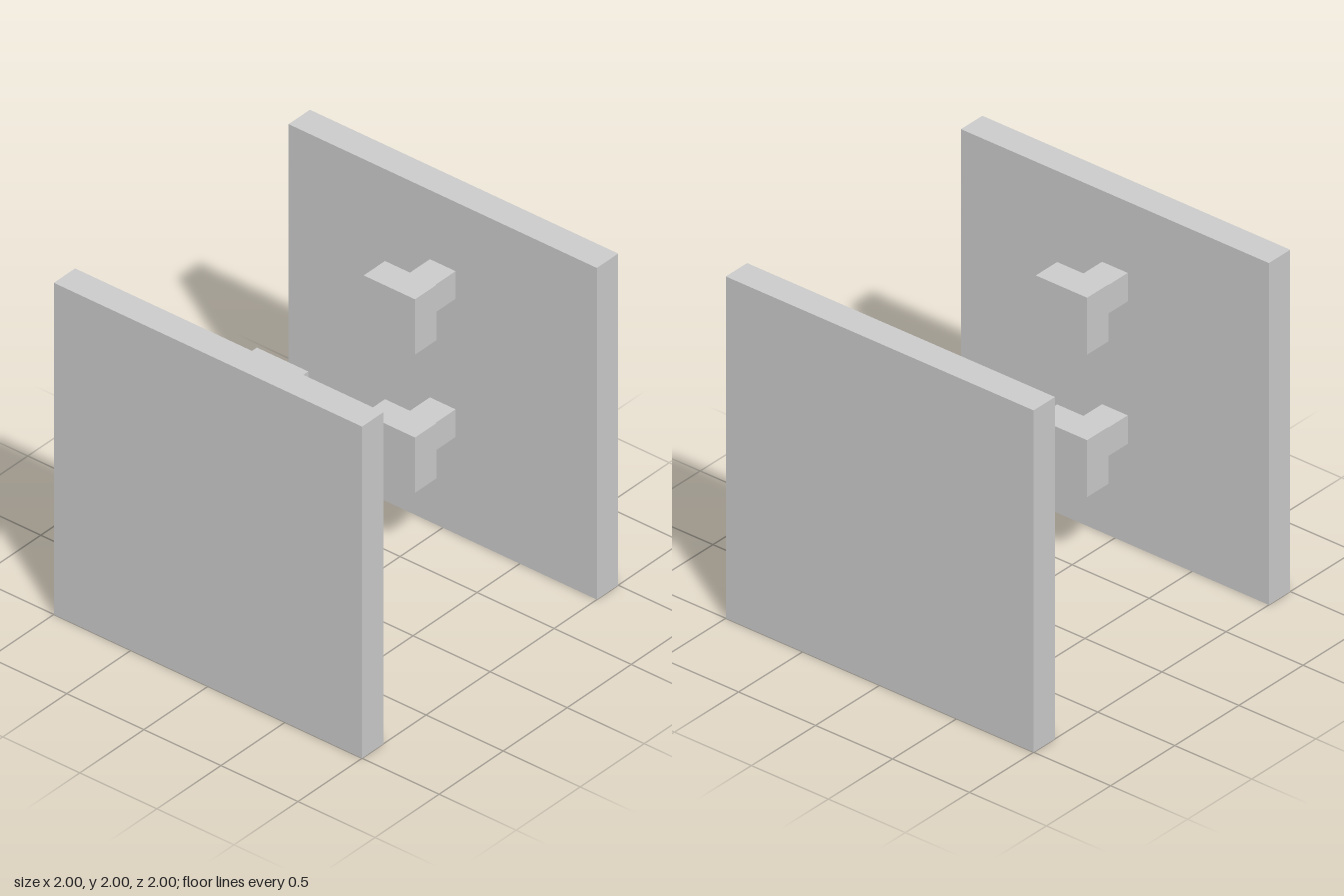
import * as THREE from 'three';

export function createModel() {
  const model = new THREE.Group();
  const material = new THREE.MeshStandardMaterial({ color: 0xcccccc, flatShading: true });
  const T = 1 / 6; // shared thickness of panel, stem and head

  function addBox(parent, name, size, position) {
    const mesh = new THREE.Mesh(new THREE.BoxGeometry(...size), material);
    mesh.name = name;
    mesh.position.set(...position);
    parent.add(mesh);
  }

  for (const side of [-1, 1]) {
    const door = new THREE.Group();
    door.name = side > 0 ? 'leftDoor' : 'rightDoor';

    // Square upright slab
    addBox(door, 'panel', [T, 2, 2], [side * (1 - T / 2), 1, 0]);

    // Two knobs on the inner face, each a stem with a wider head
    for (const [label, y] of [['lower', 4 * T], ['upper', 9 * T]]) {
      const knob = new THREE.Group();
      knob.name = label + 'Knob';
      knob.position.y = y;
      addBox(knob, 'stem', [T * 1.5, T, T], [side * T * 4.25, 0, 0]);
      addBox(knob, 'head', [T, 2 * T, 2 * T], [side * T * 3, 0, 0]);
      door.add(knob);
    }
    model.add(door);
  }
  return model;
}
